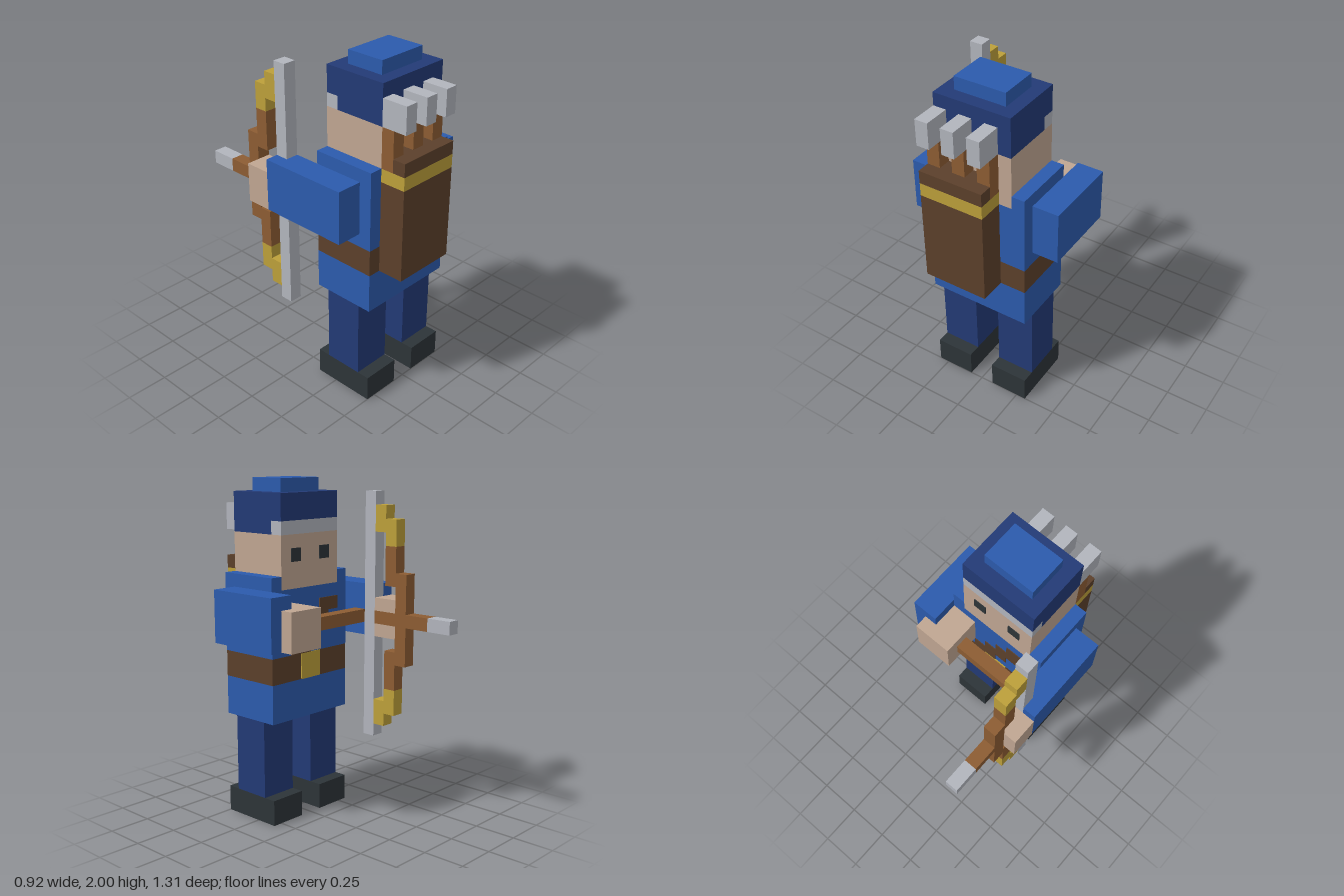
import * as THREE from 'three';

const U = 1 / 13; // size of one block

const paint = (name, color) => {
  const m = new THREE.MeshStandardMaterial({ color });
  m.name = name;
  return m;
};

export function createModel() {
  const blue = paint('tunicBlue', 0x2c5bad);
  const navy = paint('navy', 0x233a76);
  const skin = paint('skin', 0xc0a692);
  const leather = paint('darkLeather', 0x5c402b);
  const wood = paint('wood', 0x8d5d33);
  const gold = paint('gold', 0xbda03a);
  const steel = paint('paleGrey', 0xb2b5bd);
  const black = paint('charcoal', 0x2d3438);

  const model = new THREE.Group();
  model.name = 'archer';
  const group = (name) => {
    const g = new THREE.Group();
    g.name = name;
    model.add(g);
    return g;
  };
  // Box given by its block ranges along x, y and z
  const block = (parent, name, mat, [x0, x1], [y0, y1], [z0, z1]) => {
    const geo = new THREE.BoxGeometry((x1 - x0) * U, (y1 - y0) * U, (z1 - z0) * U);
    const mesh = new THREE.Mesh(geo, mat);
    mesh.position.set((x0 + x1) / 2 * U, (y0 + y1) / 2 * U, (z0 + z1) / 2 * U);
    mesh.name = name;
    parent.add(mesh);
    return mesh;
  };
  const body = [1.5, 6.5];
  const plate = [1.44, 1.5]; // thin details on the face and chest

  // Legs and boots
  const legs = group('legs');
  for (const x of [[-4, -1], [1, 4]]) {
    block(legs, 'boot', black, x, [0, 2], body);
    block(legs, 'leg', navy, x, [2, 8], [2.5, 5.5]);
  }

  // Torso, belt and chest strap
  const torso = group('torso');
  block(torso, 'tunicSkirt', blue, [-4, 4], [8, 11], body);
  block(torso, 'belt', leather, [-4, 4], [11, 13], body);
  block(torso, 'tunic', blue, [-4, 4], [13, 18], body);
  for (const x of [[-4, -3], [3, 4]]) block(torso, 'shoulder', blue, x, [18, 19], body);
  block(torso, 'buckle', gold, [-1, 1], [11, 13], plate);
  for (let i = 0; i < 4; i++) block(torso, 'strap', leather, [-i, 2 - i], [13 + i, 14 + i], plate);

  // Head and cap
  const head = group('head');
  block(head, 'face', skin, [-3, 3], [18, 22], body);
  for (const x of [-2, 1]) block(head, 'eye', black, [x, x + 1], [20, 21], plate);
  block(head, 'capBrim', steel, [-3, 3], [22, 23], [1.5, 2.5]);
  block(head, 'capBand', navy, [-3, 3], [22, 23], [2.5, 6.5]);
  block(head, 'cap', navy, [-3, 3], [23, 25], body);
  block(head, 'capTop', blue, [-2, 2], [25, 26], [2.5, 5.5]);

  // Arm that draws the bow
  const drawArm = group('drawArm');
  block(drawArm, 'sleeve', blue, [4, 6], [14, 18], [-0.5, 5.5]);
  block(drawArm, 'palm', skin, [2, 4], [14, 17], [-1.5, 1.5]);
  block(drawArm, 'knuckles', skin, [4, 5], [14, 17], [-1.5, -0.5]);

  // Arm that holds the bow, leaving room for string and arrow
  const bowArm = group('bowArm');
  block(bowArm, 'outerSleeve', blue, [-6, -5], [14, 18], [-1.5, 5.5]);
  block(bowArm, 'innerSleeve', blue, [-5, -4], [14, 18], [-0.5, 5.5]);
  block(bowArm, 'palm', skin, [-6, -5], [14, 17], [-3.5, -1.5]);
  for (const y of [14, 16]) block(bowArm, 'fingers', skin, [-5, -4], [y, y + 1], [-3.5, -1.5]);

  // Bow, mirrored about the arrow height
  const bow = group('bow');
  const bx = [-5, -4];
  const mid = 15.5;
  block(bow, 'string', steel, bx, [6, 25], [-1.5, -0.5]);
  block(bow, 'grip', wood, bx, [12, 19], [-4.5, -3.5]);
  for (const s of [-1, 1]) {
    const span = (a, b) => [mid + s * a, mid + s * b].sort((p, q) => p - q);
    block(bow, 'limb', wood, bx, span(2.5, 5.5), [-3.5, -2.5]);
    block(bow, 'limbEnd', gold, bx, span(5.5, 7.5), [-3.5, -2.5]);
    block(bow, 'limbTip', gold, bx, span(6.5, 8.5), [-2.5, -1.5]);
  }

  // Nocked arrow and the rod reaching back to the drawing hand
  const arrow = group('arrow');
  block(arrow, 'shaftBack', wood, bx, [15, 16], [-3.5, -1.5]);
  block(arrow, 'shaftFront', wood, bx, [15, 16], [-6.5, -4.5]);
  block(arrow, 'arrowHead', steel, bx, [15, 16], [-8.5, -6.5]);
  block(arrow, 'drawRod', wood, [-4, 2], [15, 16], [-0.5, 0.5]);

  // Quiver with three spare arrows
  const quiver = group('quiver');
  block(quiver, 'quiverBody', leather, [-3, 2], [11, 18], [6.5, 8.5]);
  block(quiver, 'quiverTrim', gold, [-3, 2], [18, 19], [6.5, 8.5]);
  block(quiver, 'quiverRim', leather, [-3, 2], [19, 20], [7.5, 8.5]);
  for (const x of [-2, 0]) block(quiver, 'rimFill', leather, [x, x + 1], [19, 20], [6.5, 7.5]);
  for (const x of [-3, -1, 1]) {
    block(quiver, 'spareShaft', wood, [x, x + 1], [19, 22], [6.5, 7.5]);
    block(quiver, 'fletching', steel, [x, x + 1], [22, 24], [6.5, 8.5]);
  }

  return model;
}
